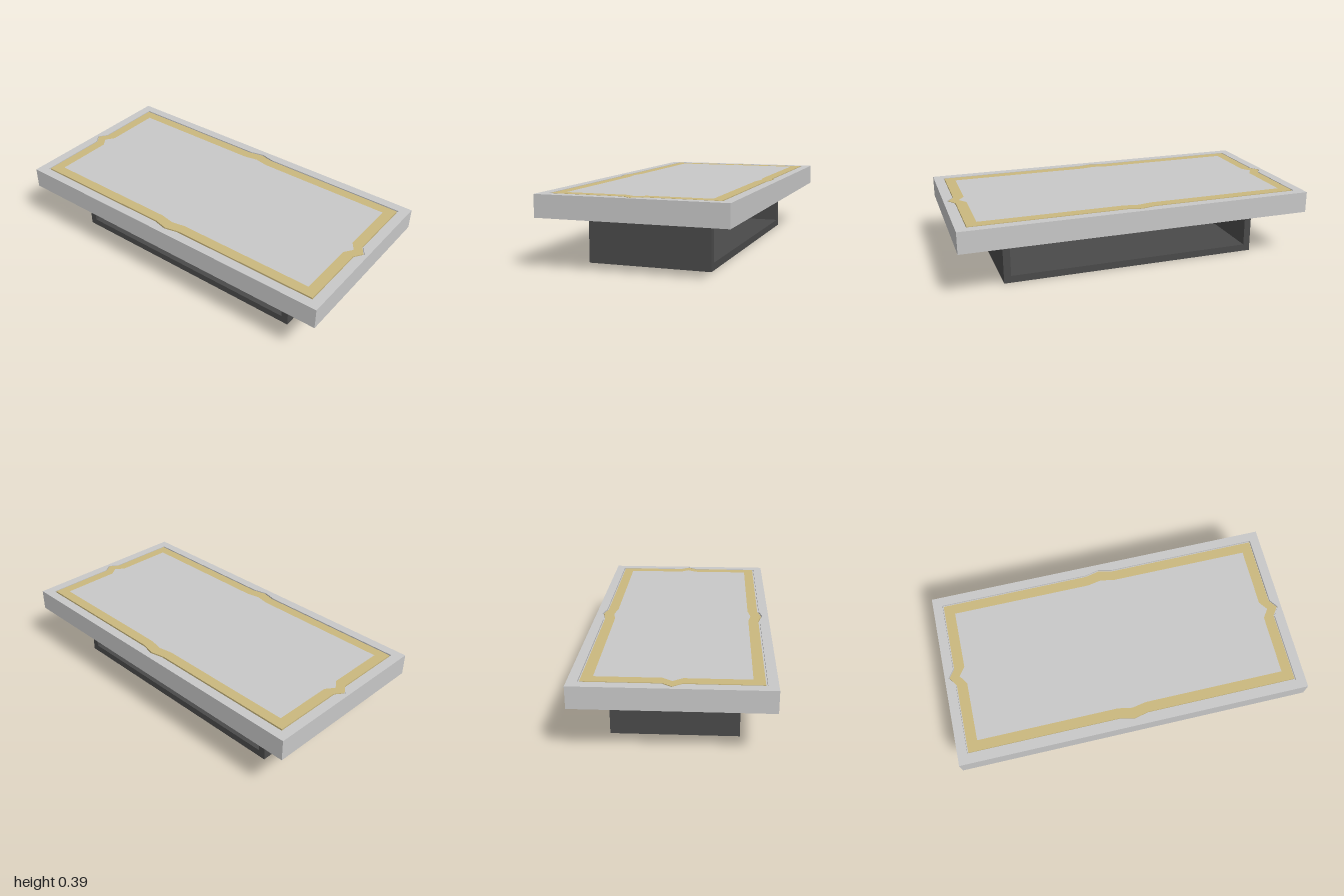
import * as THREE from 'three';

const material = (name, color) => {
  const m = new THREE.MeshStandardMaterial({ color });
  m.name = name;
  return m;
};

// Rectangle outline with a small pointed bump in the middle of each side
function bumpedOutline(x, z, tipX, tipZ, halfX = 0.08, halfZ = 0.05) {
  return [
    [x, -z], [x, -halfZ], [tipX, 0], [x, halfZ], [x, z],
    [halfX, z], [0, tipZ], [-halfX, z], [-x, z],
    [-x, halfZ], [-tipX, 0], [-x, -halfZ], [-x, -z],
    [-halfX, -z], [0, -tipZ], [halfX, -z],
  ].map(([a, b]) => new THREE.Vector2(a, b));
}

const rectangle = (x, z) =>
  [[x, -z], [x, z], [-x, z], [-x, -z]].map(([a, b]) => new THREE.Vector2(a, b));

// Horizontal plate from an outline, rising from y0 to y1
function plate(name, outline, hole, y0, y1, mat) {
  const shape = new THREE.Shape(outline);
  if (hole) shape.holes.push(new THREE.Path(hole));
  const geometry = new THREE.ExtrudeGeometry(shape, { depth: y1 - y0, bevelEnabled: false });
  geometry.rotateX(-Math.PI / 2).translate(0, y0, 0);
  const mesh = new THREE.Mesh(geometry, mat);
  mesh.name = name;
  return mesh;
}

export function createModel() {
  const group = new THREE.Group();
  group.name = 'coffeeTable';
  const stone = material('pale grey', 0xc8c8c8);
  const gold = material('muted gold', 0xcab87e);
  const dark = material('charcoal', 0x4a4a4a);

  const bottom = 0.27, grooveFloor = 0.38, top = 0.39;
  const grooveOuter = bumpedOutline(0.945, 0.457, 0.98, 0.475);
  const bandOuter = bumpedOutline(0.939, 0.448, 0.973, 0.466);
  const bandInner = bumpedOutline(0.88, 0.39, 0.915, 0.405);

  // Table top: slab, raised rim, gold band and centre panel with a narrow groove
  group.add(
    plate('topSlab', rectangle(1, 0.51), null, bottom, grooveFloor, stone),
    plate('topRim', rectangle(1, 0.51), grooveOuter, grooveFloor, top, stone),
    plate('goldBand', bandOuter, bandInner, grooveFloor, top, gold),
    plate('centrePanel', bandInner, null, grooveFloor, top, stone),
  );

  // Base: one U-shaped band, open at front and back
  const w = 0.745, t = 0.04, depth = 0.676;
  const profile = new THREE.Shape([
    [-w, 0], [w, 0], [w, bottom], [w - t, bottom],
    [w - t, t], [t - w, t], [t - w, bottom], [-w, bottom],
  ].map(([a, b]) => new THREE.Vector2(a, b)));
  const baseGeometry = new THREE.ExtrudeGeometry(profile, { depth, bevelEnabled: false });
  baseGeometry.translate(0, 0, -depth / 2);
  const base = new THREE.Mesh(baseGeometry, dark);
  base.name = 'base';
  group.add(base);

  return group;
}
